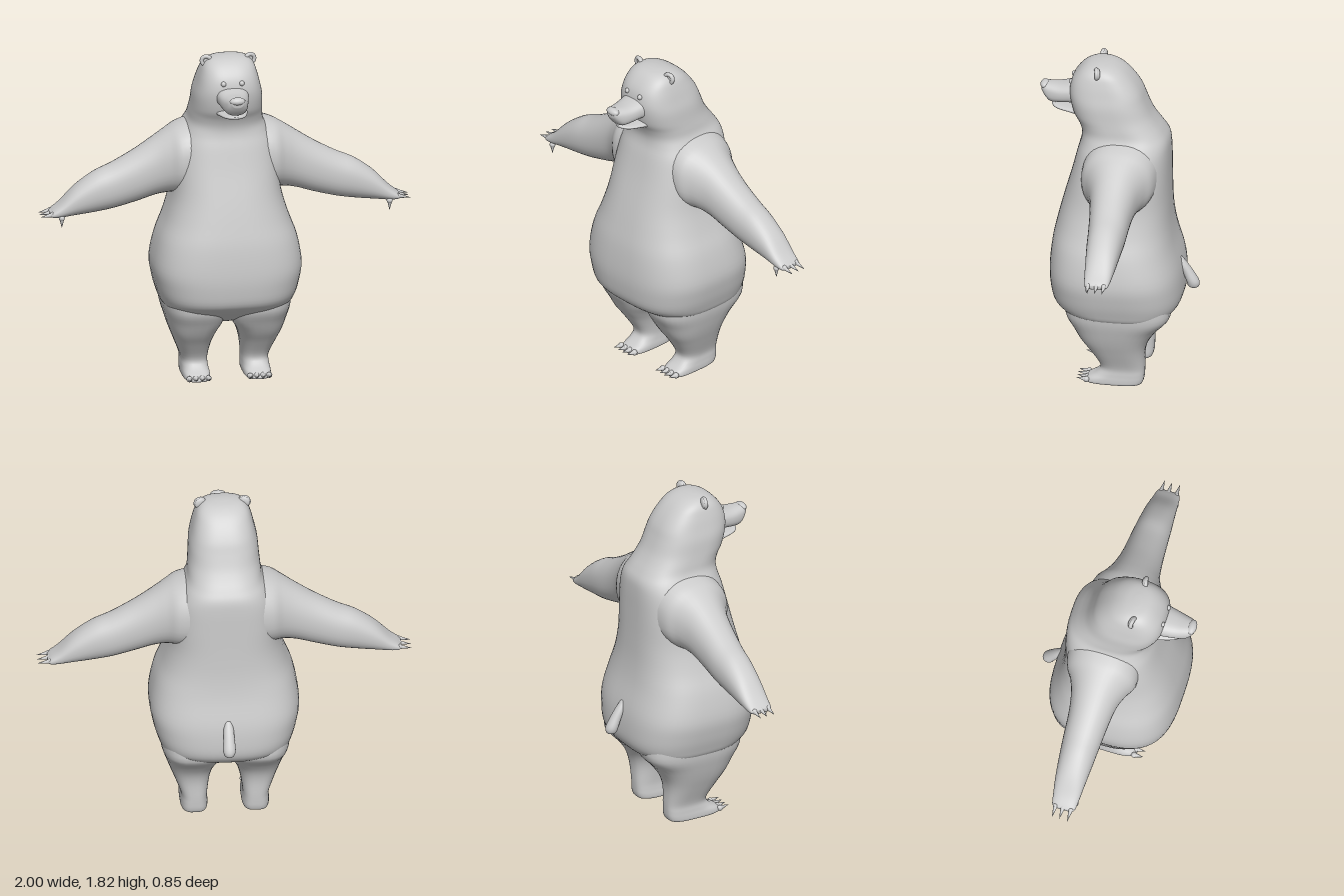
import * as THREE from 'three';

const material = new THREE.MeshStandardMaterial({ color: 0xcccccc, roughness: 0.8 });
const V = (x, y, z) => new THREE.Vector3(x, y, z);

function add(parent, name, geometry) {
  const mesh = new THREE.Mesh(geometry, material);
  mesh.name = name;
  parent.add(mesh);
  return mesh;
}

// Smooth skin through rounded-square sections.
// Row: [t, aMin, aMax, bMin, bMax, power]; place(t, a, b) gives the point.
function loft(rows, place, sides = 40, steps = 4) {
  const rings = [];
  const last = rows.length - 1;
  const row = i => rows[Math.max(0, Math.min(last, i))];
  for (let i = 0; i <= last * steps; i++) {
    const k = Math.min(Math.floor(i / steps), last - 1), f = i / steps - k;
    rings.push(row(k).map((p1, c) => {
      const p0 = row(k - 1)[c], p2 = row(k + 1)[c], p3 = row(k + 2)[c];
      const m1 = (p2 - p0) / 2, m2 = (p3 - p1) / 2;
      return p1 + f * (m1 + f * (3 * (p2 - p1) - 2 * m1 - m2 + f * (2 * (p1 - p2) + m1 + m2)));
    }));
  }
  const points = [], index = [];
  const round = (v, n) => Math.sign(v) * Math.abs(v) ** (2 / n);
  for (const [t, a0, a1, b0, b1, n] of rings) {
    for (let j = 0; j < sides; j++) {
      const u = j / sides * Math.PI * 2;
      points.push(place(t,
        (a0 + a1) / 2 + (a1 - a0) / 2 * round(Math.cos(u), n),
        (b0 + b1) / 2 + (b1 - b0) / 2 * round(Math.sin(u), n)));
    }
  }
  const top = (rings.length - 1) * sides, c0 = points.length;
  for (const r of [rings[0], rings[rings.length - 1]])
    points.push(place(r[0], (r[1] + r[2]) / 2, (r[3] + r[4]) / 2));
  for (let j = 0; j < sides; j++) {
    const j2 = (j + 1) % sides;
    for (let i = 0; i < rings.length - 1; i++) {
      const a = i * sides + j, b = i * sides + j2;
      index.push(a, a + sides, b, b, a + sides, b + sides);
    }
    index.push(c0, j, j2, c0 + 1, top + j2, top + j);
  }
  // Turn the faces outward whatever the axis or mirroring
  let volume = 0;
  for (let i = 0; i < index.length; i += 3)
    volume += points[index[i]].dot(points[index[i + 1]].clone().cross(points[index[i + 2]]));
  if (volume < 0) index.reverse();
  const g = new THREE.BufferGeometry().setFromPoints(points);
  g.setIndex(index);
  g.computeVertexNormals();
  return g;
}

const upright = (y, x, z) => V(x, y, z);
const forward = (z, x, y) => V(x, y, z);

// Knuckle and tapered claw between two points
function claw(parent, from, to, radius) {
  const d = to.clone().sub(from);
  const cone = add(parent, 'claw', new THREE.ConeGeometry(radius, d.length(), 10));
  cone.position.copy(from).addScaledVector(d, 0.5);
  cone.quaternion.setFromUnitVectors(V(0, 1, 0), d.normalize());
  add(parent, 'knuckle', new THREE.SphereGeometry(radius * 1.15, 12, 8)).position.copy(from);
}

export function createModel() {
  const bear = new THREE.Group();
  bear.name = 'bear';

  // Torso, neck and head: y, half width, back z, front z, squareness
  const body = [
    [0.31, 0.04, -0.05, 0.06, 2], [0.34, 0.14, -0.14, 0.13, 2.2],
    [0.39, 0.27, -0.26, 0.22, 2.5], [0.43, 0.34, -0.315, 0.285, 2.8],
    [0.48, 0.364, -0.342, 0.338, 2.9], [0.56, 0.386, -0.346, 0.357, 2.9],
    [0.66, 0.398, -0.335, 0.362, 2.9], [0.8, 0.372, -0.3, 0.35, 2.8],
    [0.92, 0.328, -0.282, 0.325, 2.7], [1.05, 0.292, -0.275, 0.292, 2.7],
    [1.2, 0.275, -0.272, 0.25, 2.8], [1.32, 0.255, -0.27, 0.22, 2.8],
    [1.39, 0.224, -0.262, 0.201, 2.8], [1.44, 0.2, -0.235, 0.2, 2.7],
    [1.49, 0.193, -0.2, 0.217, 2.6], [1.54, 0.188, -0.17, 0.245, 2.6],
    [1.61, 0.182, -0.14, 0.262, 2.7], [1.67, 0.168, -0.115, 0.265, 2.8],
    [1.73, 0.152, -0.075, 0.25, 2.7], [1.78, 0.132, -0.025, 0.213, 2.6],
    [1.81, 0.095, 0.03, 0.17, 2.3], [1.82, 0.03, 0.085, 0.12, 2],
  ];
  add(bear, 'body', loft(body.map(([y, w, b, f, n]) => [y, -w, w, b, f, n]), upright, 56));

  // Upper muzzle, lower jaw and nose
  add(bear, 'muzzle', loft([
    [0.18, -0.1, 0.1, 1.565, 1.7, 2.4], [0.26, -0.084, 0.084, 1.573, 1.682, 2.5],
    [0.32, -0.073, 0.073, 1.567, 1.671, 2.5], [0.37, -0.06, 0.06, 1.566, 1.671, 2.5],
    [0.4, -0.048, 0.048, 1.593, 1.671, 2.4], [0.42, -0.03, 0.03, 1.625, 1.667, 2.2],
  ], forward, 32));
  add(bear, 'jaw', loft([
    [0.18, -0.09, 0.09, 1.5, 1.56, 2.4], [0.26, -0.078, 0.078, 1.522, 1.556, 2.4],
    [0.32, -0.06, 0.06, 1.53, 1.556, 2.3], [0.35, -0.04, 0.04, 1.536, 1.557, 2.2],
    [0.365, -0.012, 0.012, 1.542, 1.554, 2],
  ], forward, 32));
  const nose = add(bear, 'nose', new THREE.SphereGeometry(1, 24, 16));
  nose.scale.set(0.042, 0.021, 0.025);
  nose.position.set(0, 1.656, 0.404);

  // Stubby tail
  add(bear, 'tail', loft([
    [0.69, -0.015, 0.015, -0.33, -0.3, 2], [0.65, -0.026, 0.026, -0.362, -0.31, 2],
    [0.6, -0.03, 0.03, -0.396, -0.335, 2], [0.55, -0.034, 0.034, -0.424, -0.355, 2],
    [0.52, -0.026, 0.026, -0.422, -0.365, 2], [0.51, -0.008, 0.008, -0.405, -0.385, 2],
  ], upright, 20));

  for (const s of [1, -1]) {
    const side = s > 0 ? 'left' : 'right';

    // Arm: x, bottom y, top y, back z, front z, squareness
    const arm = new THREE.Group();
    arm.name = side + 'Arm';
    bear.add(arm);
    add(arm, side + 'ArmSkin', loft([
      [0.15, 1.04, 1.44, -0.235, 0.17, 2.4], [0.25, 1.04, 1.412, -0.215, 0.17, 2.3],
      [0.31, 1.036, 1.382, -0.178, 0.135, 2.2], [0.38, 1.022, 1.337, -0.15, 0.105, 2.2],
      [0.48, 0.99, 1.272, -0.133, 0.088, 2.2], [0.6, 0.958, 1.205, -0.125, 0.076, 2.2],
      [0.7, 0.941, 1.16, -0.116, 0.068, 2.2], [0.8, 0.93, 1.088, -0.105, 0.058, 2.3],
      [0.88, 0.923, 1.005, -0.092, 0.05, 2.4], [0.925, 0.925, 0.967, -0.083, 0.043, 2.4],
      [0.94, 0.933, 0.953, -0.07, 0.03, 2.2],
    ], (x, y, z) => V(s * x, y, z), 36));
    for (const z of [-0.062, -0.022, 0.022])
      claw(arm, V(s * 0.93, 0.946, z), V(s * 0.998, 0.934, z), 0.013);
    claw(arm, V(s * 0.882, 0.928, 0.034), V(s * 0.882, 0.873, 0.034), 0.014);

    // Leg and foot: y, inner x, outer x, back z, front z, squareness
    const leg = new THREE.Group();
    leg.name = side + 'Leg';
    bear.add(leg);
    add(leg, side + 'LegSkin', loft([
      [0.003, 0.105, 0.22, -0.125, 0.135, 3], [0.012, 0.092, 0.235, -0.146, 0.162, 3.2],
      [0.035, 0.09, 0.237, -0.155, 0.15, 3.2], [0.065, 0.093, 0.235, -0.158, 0.1, 3],
      [0.11, 0.093, 0.237, -0.16, 0.078, 2.8], [0.2, 0.078, 0.272, -0.163, 0.13, 2.7],
      [0.27, 0.053, 0.3, -0.183, 0.18, 2.7], [0.34, 0.015, 0.323, -0.23, 0.22, 2.7],
      [0.42, 0.01, 0.343, -0.298, 0.26, 2.8], [0.52, 0.03, 0.35, -0.29, 0.26, 2.7],
    ], (y, x, z) => V(s * x, y, z), 36));
    for (const x of [0.112, 0.147, 0.181, 0.215])
      claw(leg, V(s * x, 0.026, 0.148), V(s * x, 0.034, 0.203), 0.014);

    // Cupped ear
    const ear = new THREE.Group();
    ear.name = side + 'Ear';
    ear.position.set(s * 0.118, 1.793, 0.11);
    ear.rotation.y = s * 0.2;
    bear.add(ear);
    add(ear, 'earRim', new THREE.TorusGeometry(0.024, 0.011, 12, 28));
    const back = add(ear, 'earBack', new THREE.SphereGeometry(1, 20, 14));
    back.scale.set(0.031, 0.031, 0.013);
    back.position.z = -0.008;

    // Eye
    add(bear, side + 'Eye', new THREE.SphereGeometry(0.014, 16, 12)).position.set(s * 0.049, 1.705, 0.255);
  }
  return bear;
}
